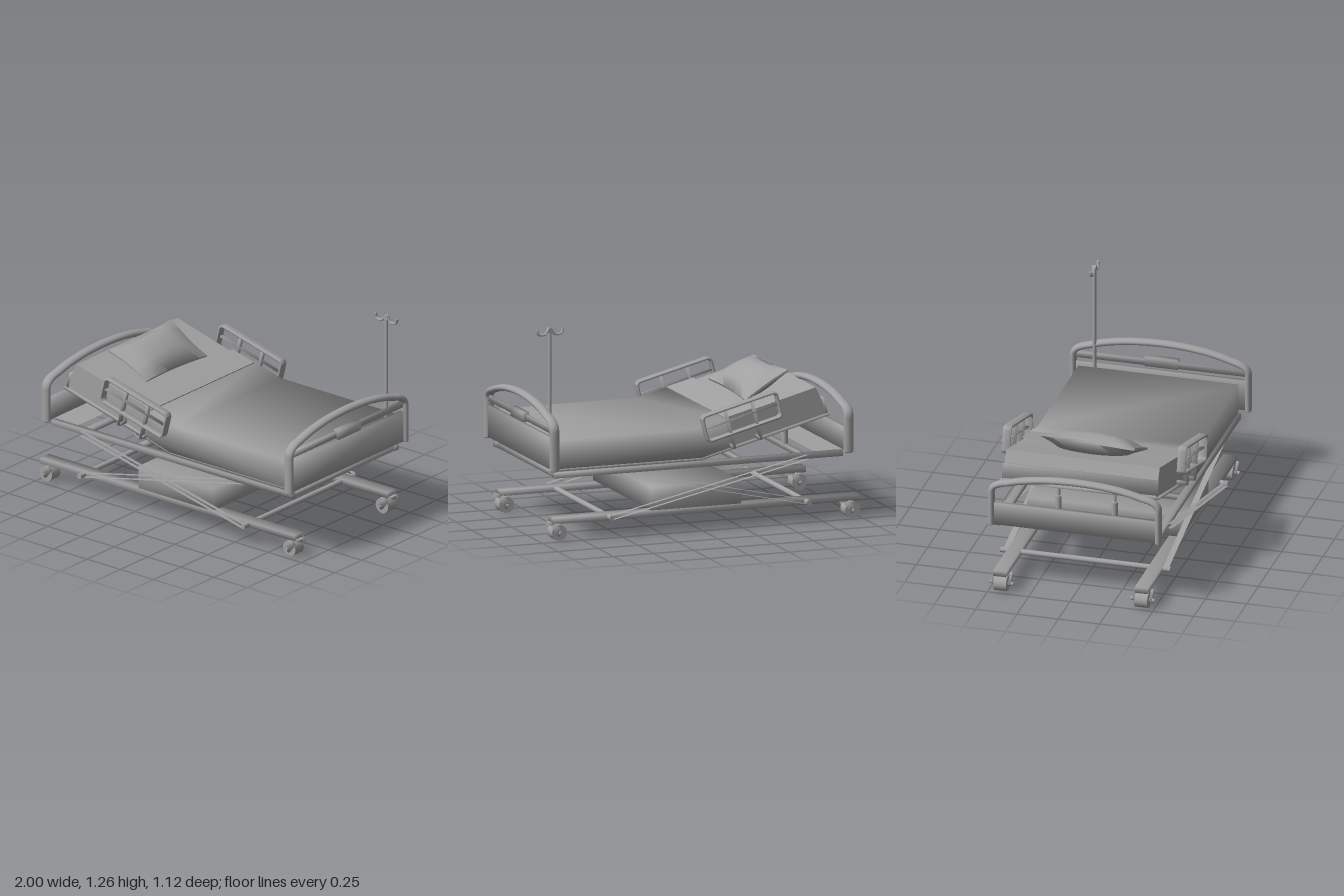
import * as THREE from 'three';
import { toCreasedNormals } from 'three/addons/utils/BufferGeometryUtils.js';

const mat = new THREE.MeshStandardMaterial({ color: 0xa0a0a0 });
const thin = new THREE.MeshStandardMaterial({ color: 0xa0a0a0, side: THREE.DoubleSide });
const TILT = -0.25; // slope of the raised back section

export function createModel() {
  const root = new THREE.Group();
  root.name = 'adjustableBed';

  const add = (name, geo, x = 0, y = 0, z = 0, parent = root, m = mat) => {
    const mesh = new THREE.Mesh(geo, m);
    mesh.name = name;
    mesh.position.set(x, y, z);
    parent.add(mesh);
    return mesh;
  };
  const box = (name, w, h, d, x, y, z, parent) => add(name, new THREE.BoxGeometry(w, h, d), x, y, z, parent);
  // Box with normals averaged over its corners, for soft shading
  const softBox = (name, w, h, d, x, y, z, parent) =>
    add(name, toCreasedNormals(new THREE.BoxGeometry(w, h, d), Math.PI), x, y, z, parent);
  const cyl = (name, r, len, x, y, z, axis = 'y', parent = root) => {
    const g = new THREE.CylinderGeometry(r, r, len, 20);
    if (axis === 'z') g.rotateX(Math.PI / 2);
    return add(name, g, x, y, z, parent);
  };
  const group = (name, x = 0, y = 0, z = 0) => {
    const g = new THREE.Group();
    g.name = name;
    g.position.set(x, y, z);
    root.add(g);
    return g;
  };
  // Side profile in x/y, extruded across the width of the bed
  const profile = (name, pts, width, crease) => {
    const g = new THREE.ExtrudeGeometry(new THREE.Shape(pts.map(p => new THREE.Vector2(...p))), { depth: width, bevelEnabled: false });
    g.translate(0, 0, -width / 2);
    return add(name, toCreasedNormals(g, crease));
  };

  // Base chassis and lift housing
  for (const s of [1, -1]) softBox('baseRail', 1.91, 0.035, 0.08, -0.035, 0.12, s * 0.428);
  for (const x of [-0.66, 0.57]) cyl('baseCrossTube', 0.016, 1.03, x, 0.12, 0, 'z');
  softBox('liftHousing', 0.56, 0.138, 0.94, 0.03, 0.207, 0);

  // Casters
  for (const x of [-0.95, 0.88]) for (const s of [1, -1]) {
    const c = group('caster', x, 0.047, s * 0.427);
    cyl('wheel', 0.047, 0.078, 0, 0, 0, 'z', c);
    cyl('axle', 0.011, 0.145, 0, 0, 0, 'z', c);
    cyl('swivel', 0.03, 0.02, 0.035, 0.052, 0, 'y', c);
    for (const k of [1, -1]) {
      const fork = softBox('forkArm', 0.035, 0.075, 0.014, 0.017, 0.021, k * 0.05, c);
      fork.rotation.z = -0.65;
    }
  }

  // Scissor lift: open channels, crossing side by side on each side
  const dx = 1.22, dy = 0.27, len = Math.hypot(dx, dy);
  for (const s of [1, -1]) for (const k of [1, -1]) {
    const arm = group('scissorArm', -0.04, 0.257, s * (0.495 - k * 0.0125));
    arm.rotation.z = k * Math.atan2(dy, dx);
    for (const o of [0.013, -0.013])
      add('armFlange', new THREE.PlaneGeometry(len, 0.025).rotateX(-Math.PI / 2), 0, o, 0, arm, thin);
  }

  // Upper frame
  for (const s of [1, -1]) softBox('upperRail', 1.8, 0.033, 0.04, 0.02, 0.395, s * 0.475);
  for (const x of [-0.86, -0.64, -0.25, 0.2, 0.57, 0.9]) softBox('upperCrossBar', 0.035, 0.028, 0.95, x, 0.395, 0);
  add('headShelf', new THREE.PlaneGeometry(0.18, 0.92).rotateX(-Math.PI / 2), -0.8, 0.412, 0);

  // Back section lift struts
  for (const s of [1, -1]) {
    cyl('strutBody', 0.018, 0.115, -0.64, 0.443, s * 0.17);
    cyl('strutRod', 0.009, 0.14, -0.635, 0.53, s * 0.17);
  }

  // Deck, mattress and bedding
  profile('deck', [[-0.805, 0.625], [0, 0.415], [0.905, 0.415], [0.905, 0.43], [0, 0.43], [-0.8, 0.638]], 0.96, Math.PI);
  profile('mattress', [[-0.795, 0.637], [0, 0.43], [0.9, 0.43], [0.9, 0.59], [0.05, 0.59], [-0.72, 0.793]], 0.93, 0.5);
  profile('blanket', [[-0.19, 0.482], [0, 0.431], [0.906, 0.431], [0.906, 0.602], [0.04, 0.604], [-0.15, 0.652]], 0.97, Math.PI);
  const fold = box('foldedSheet', 0.17, 0.012, 0.95, -0.235, 0.672, 0);
  fold.rotation.z = TILT;
  const stop = softBox('mattressStop', 0.014, 0.1, 0.94, -0.775, 0.68, 0);
  stop.rotation.z = TILT;

  // Pillow: a grid pinched at the rim with slightly pulled-in sides
  const pg = new THREE.BoxGeometry(2, 2, 2, 6, 1, 8);
  const p = pg.attributes.position;
  for (let i = 0; i < p.count; i++) {
    const u = p.getX(i), v = p.getZ(i);
    const puff = Math.sqrt((1 - u * u) * (1 - v * v));
    p.setXYZ(i,
      u * 0.155 * (1 - 0.07 * (1 - v * v)),
      p.getY(i) * (0.006 + 0.062 * puff) + 0.012 * u * v,
      v * 0.285 * (1 - 0.06 * (1 - u * u)));
  }
  add('pillow', toCreasedNormals(pg, 0.9), -0.485, 0.785, 0).rotation.z = -0.47;

  // Arched end boards
  const board = (name, x, half, y0, yShoulder, yTop, panelTop) => {
    const b = group(name, x, 0, 0.006);
    const h = half - 0.02, top = yTop - 0.02, rise = top - yShoulder;
    const path = new THREE.CurvePath();
    const V = (y, z) => new THREE.Vector3(0, y, z);
    path.add(new THREE.LineCurve3(V(y0, h), V(yShoulder - 0.03, h)));
    path.add(new THREE.QuadraticBezierCurve3(V(yShoulder - 0.03, h), V(yShoulder + 0.02, h), V(yShoulder + rise * 0.4, h - 0.1)));
    path.add(new THREE.CubicBezierCurve3(V(yShoulder + rise * 0.4, h - 0.1), V(top + rise * 0.2, h * 0.38),
      V(top + rise * 0.2, -h * 0.38), V(yShoulder + rise * 0.4, 0.1 - h)));
    path.add(new THREE.QuadraticBezierCurve3(V(yShoulder + rise * 0.4, 0.1 - h), V(yShoulder + 0.02, -h), V(yShoulder - 0.03, -h)));
    path.add(new THREE.LineCurve3(V(yShoulder - 0.03, -h), V(y0, -h)));
    add('archTube', new THREE.TubeGeometry(path, 90, 0.02, 14).scale(1.5, 1, 1), 0, 0, 0, b);
    for (const s of [1, -1])
      add('footCap', new THREE.SphereGeometry(0.02, 14, 8).scale(1.5, 0.5, 1), 0, y0, s * h, b);
    softBox('panel', 0.022, panelTop - y0, 2 * h, 0, (panelTop + y0) / 2, 0, b);
    return b;
  };
  board('headboard', -0.912, 0.525, 0.405, 0.64, 0.745, 0.54);
  const foot = board('footboard', 0.935, 0.55, 0.432, 0.69, 0.813, 0.62);
  softBox('crossBar', 0.018, 0.036, 1.03, 0, 0.664, 0, foot);
  softBox('controlBox', 0.04, 0.057, 0.2, 0.01, 0.668, 0.004, foot);

  // Tilted side guards
  const rounded = (shape, w, h, r) => {
    shape.moveTo(-w + r, -h);
    shape.lineTo(w - r, -h); shape.quadraticCurveTo(w, -h, w, -h + r);
    shape.lineTo(w, h - r); shape.quadraticCurveTo(w, h, w - r, h);
    shape.lineTo(-w + r, h); shape.quadraticCurveTo(-w, h, -w, h - r);
    shape.lineTo(-w, -h + r); shape.quadraticCurveTo(-w, -h, -w + r, -h);
    return shape;
  };
  for (const s of [1, -1]) {
    const g = group('sideGuard', -0.228, 0.669, s * 0.53 - 0.006);
    g.rotation.z = TILT;
    const ring = rounded(new THREE.Shape(), 0.242, 0.082, 0.032);
    ring.holes.push(rounded(new THREE.Path(), 0.233, 0.073, 0.024));
    const rg = new THREE.ExtrudeGeometry(ring, { depth: 0.042, bevelEnabled: true, bevelSize: 0.002, bevelThickness: 0.004, bevelSegments: 2, curveSegments: 8 });
    add('guardFrame', toCreasedNormals(rg, 1.2), 0, 0, -0.021, g);
    softBox('guardBar', 0.46, 0.009, 0.02, 0, 0, 0, g);
    for (const u of [-0.085, 0.085]) {
      softBox('guardPost', 0.012, 0.25, 0.03, u, -0.045, -s * 0.005, g);
      softBox('guardBracket', 0.02, 0.025, 0.06, u, -0.16, -s * 0.03, g);
    }
  }

  // Drip stand with two hooks
  const stand = group('dripStand', 0.912, 0, -0.39);
  cyl('pole', 0.011, 0.82, 0, 0.835, 0, 'y', stand);
  cyl('poleTop', 0.016, 0.024, 0, 1.24, 0, 'z', stand);
  for (const s of [1, -1]) {
    const hook = new THREE.CatmullRomCurve3([[0, 1.245], [0.014, 1.238], [0.026, 1.22], [0.05, 1.214], [0.074, 1.222], [0.081, 1.245]]
      .map(([x, y]) => new THREE.Vector3(s * x, y, 0)));
    add('hook', new THREE.TubeGeometry(hook, 24, 0.007, 8).scale(1, 1, 1.6), 0, 0, 0, stand);
    add('hookTip', new THREE.SphereGeometry(0.007, 8, 6).scale(1, 1, 1.6), s * 0.081, 1.245, 0, stand);
  }
  return root;
}
